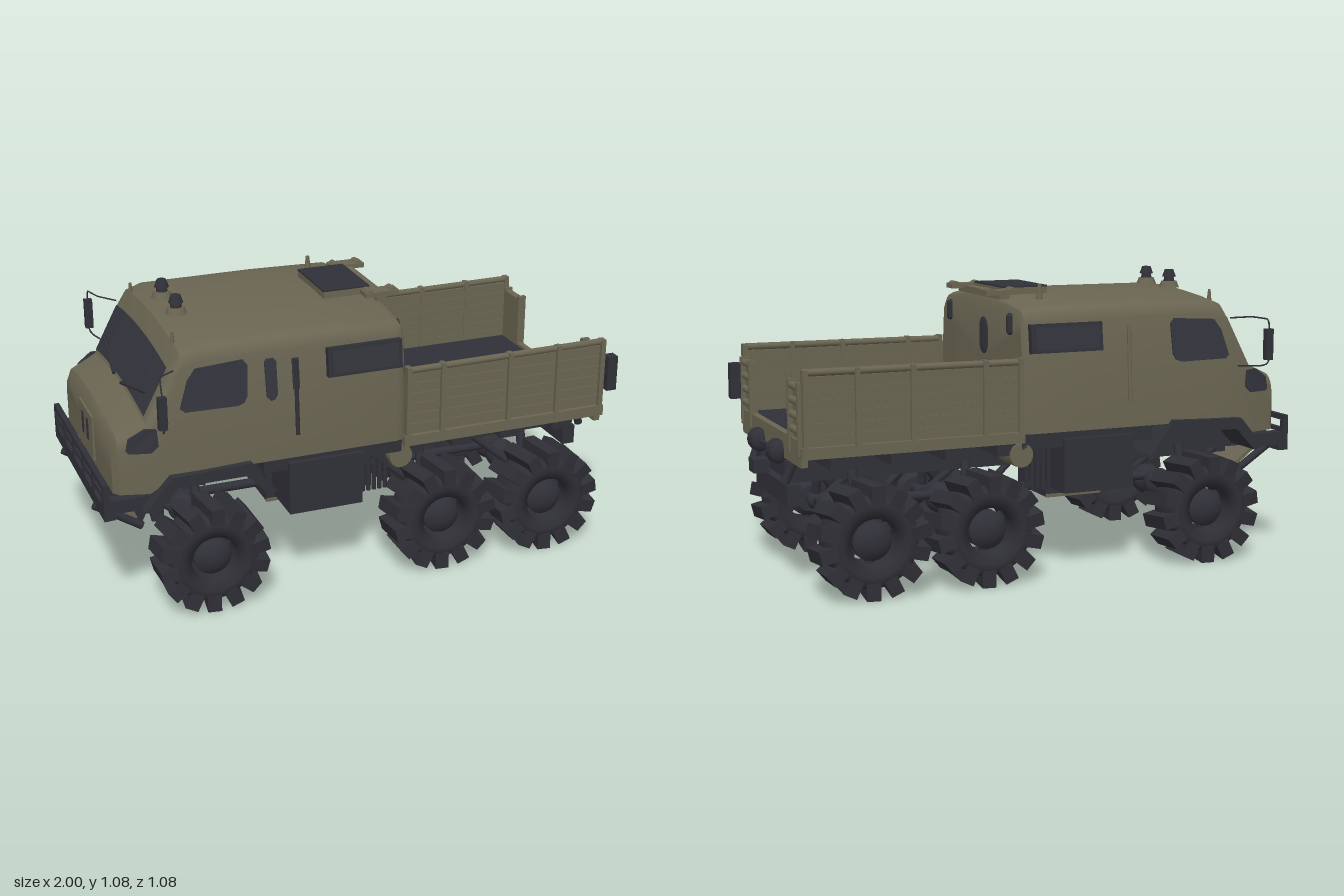
import * as THREE from 'three';
import { mergeGeometries, toCreasedNormals } from 'three/addons/utils/BufferGeometryUtils.js';

const mat = (name, color) => Object.assign(new THREE.MeshStandardMaterial({ color }), { name });
const olive = mat('olive paint', 0x6a6552);
const dark = mat('dark chassis', 0x303038);
const rubber = mat('tyre rubber', 0x2e2e35);
const glass = mat('dark glass', 0x34343d);
glass.side = THREE.DoubleSide;

// piecewise linear lookup
const lerpTable = (t, x) => {
  if (x <= t[0][0]) return t[0][1];
  for (let i = 1; i < t.length; i++) {
    const [a, b] = [t[i - 1], t[i]];
    if (x <= b[0]) return a[1] + (b[1] - a[1]) * (x - a[0]) / (b[0] - a[0]);
  }
  return t[t.length - 1][1];
};
const TOP = [[-0.94, 0.69], [-0.92, 0.72], [-0.82, 0.76], [-0.72, 0.95], [-0.69, 1.0], [-0.63, 1.02], [-0.2, 1.022], [0.1, 1.015], [0.122, 1.005], [0.133, 0.985]];
const WIDTH = [[-0.94, 0.83], [-0.92, 0.89], [-0.82, 0.955], [-0.72, 0.985], [-0.63, 1], [0.1, 1], [0.122, 0.985], [0.133, 0.955]];
const R = 0.055, CROWN = 0.025;
const sideZ = (x, y) => lerpTable(WIDTH, x) * (y < 0.75 ? 0.412 : 0.412 - (y - 0.75) * 0.125);
const roofY = (x, z) => {
  const T = lerpTable(TOP, x), zc = sideZ(x, T - R - CROWN) - R;
  return T - CROWN * (z / zc) ** 2;
};

// one cab cross-section, running from floor centre over the +z side to the roof and back
function cabRing(x) {
  const T = lerpTable(TOP, x), y0 = x < -0.8 ? 0.48 : 0.54, yr = T - CROWN - R, zc = sideZ(x, yr) - R;
  const half = [[0, y0], ...[0, 0.5, 1].map(f => [sideZ(x, y0 + (yr - y0) * f), y0 + (yr - y0) * f])];
  for (let k = 1; k <= 4; k++) half.push([zc + R * Math.cos(k * Math.PI / 8), yr + R * Math.sin(k * Math.PI / 8)]);
  half.push([zc * 0.66, roofY(x, zc * 0.66)], [zc * 0.33, roofY(x, zc * 0.33)], [0, T]);
  const back = half.slice(1, -1).reverse().map(([z, y]) => [-z, y]);
  return [...half, ...back].map(([z, y]) => [x, y, z]);
}
function loft(rings) {
  const n = rings[0].length, idx = [];
  for (let i = 0; i < rings.length - 1; i++) for (let j = 0; j < n; j++) {
    const a = i * n + j, b = i * n + (j + 1) % n;
    idx.push(a, a + n, b, b, a + n, b + n);
  }
  const g = new THREE.BufferGeometry();
  g.setAttribute('position', new THREE.Float32BufferAttribute(rings.flat(2), 3));
  g.setIndex(idx);
  return toCreasedNormals(g.toNonIndexed(), 0.6);
}

export function createModel() {
  const model = new THREE.Group();
  const add = (name, geo, m, x = 0, y = 0, z = 0, parent = model) => {
    const o = new THREE.Mesh(geo, m);
    o.name = name; o.position.set(x, y, z); parent.add(o);
    return o;
  };
  // box given by its x, y and z ranges
  const box = (name, m, x0, x1, y0, y1, z0, z1) =>
    add(name, new THREE.BoxGeometry(x1 - x0, y1 - y0, z1 - z0), m, (x0 + x1) / 2, (y0 + y1) / 2, (z0 + z1) / 2);
  const rod = (name, m, a, b, r, sides = 10) => {
    const p = new THREE.Vector3(...a), q = new THREE.Vector3(...b), d = q.clone().sub(p);
    const o = add(name, new THREE.CylinderGeometry(r, r, d.length(), sides), m);
    o.position.copy(p.add(q).multiplyScalar(0.5));
    o.quaternion.setFromUnitVectors(new THREE.Vector3(0, 1, 0), d.normalize());
  };
  const both = f => { f(1); f(-1); };
  const sbox = (name, m, x0, x1, y0, y1, z0, z1, s) =>
    s > 0 ? box(name, m, x0, x1, y0, y1, z0, z1) : box(name, m, x0, x1, y0, y1, -z1, -z0);

  // cab shell
  const xs = TOP.map(p => p[0]), first = cabRing(xs[0]);
  add('cab', loft([first.map(() => [xs[0], 0.58, 0]), ...xs.map(cabRing), first.map(() => [0.137, 0.77, 0])]), olive);

  // windscreen follows the slope of the cab
  const screen = new THREE.PlaneGeometry(1, 1, 8, 3), sp = screen.attributes.position;
  for (let i = 0; i < sp.count; i++) {
    const x = -0.814 + (sp.getY(i) + 0.5) * 0.088, z = sp.getX(i) * 0.69;
    sp.setXYZ(i, x - 0.005, roofY(x, z) + 0.006, z);
  }
  screen.computeVertexNormals();
  add('windscreen', screen, glass);

  // thin plate lying on the side of the cab
  const sidePlate = (name, pts, s) => {
    const g = new THREE.ExtrudeGeometry(new THREE.Shape(pts.map(p => new THREE.Vector2(...p))), { depth: 0.009, bevelEnabled: false });
    const p = g.attributes.position;
    for (let i = 0; i < p.count; i++) {
      const d = sideZ(p.getX(i), p.getY(i)) - 0.003 + (s > 0 ? p.getZ(i) : 0.009 - p.getZ(i));
      p.setZ(i, s * d);
    }
    g.computeVertexNormals();
    add(name, g, glass);
  };
  both(s => {
    sidePlate('doorWindow', [[-0.705, 0.785], [-0.69, 0.772], [-0.5, 0.77], [-0.478, 0.778], [-0.466, 0.8], [-0.46, 0.91], [-0.475, 0.93], [-0.645, 0.92], [-0.675, 0.88]], s);
    sidePlate('headlampWindow', [[-0.895, 0.645], [-0.885, 0.635], [-0.81, 0.635], [-0.785, 0.66], [-0.79, 0.72], [-0.83, 0.725], [-0.885, 0.69]], s);
    rod('grabRail', s > 0 ? dark : olive, [-0.285, 0.63, s * 0.42], [-0.285, 0.91, s * 0.402], 0.008, 8);
    // hinged rear side window
    const w = add('rearWindowFrame', new THREE.BoxGeometry(0.28, 0.105, 0.03), dark, -0.03, 0.88, s * 0.405);
    w.rotation.x = -s * 0.12;
    add('rearWindowPane', new THREE.BoxGeometry(0.25, 0.08, 0.008), glass, 0, 0, s * 0.016, w);
    // mirror
    const arm = [[-0.72, 0.92, 0.385], [-0.78, 0.927, 0.44], [-0.8, 0.925, 0.52], [-0.8, 0.9, 0.53], [-0.8, 0.765, 0.53], [-0.79, 0.75, 0.5], [-0.75, 0.74, 0.4]];
    const curve = new THREE.CatmullRomCurve3(arm.map(p => new THREE.Vector3(p[0], p[1], s * p[2])), false, 'catmullrom', 0.1);
    add('mirrorArm', new THREE.TubeGeometry(curve, 32, 0.003, 6), dark);
    sbox('mirror', dark, -0.815, -0.785, 0.775, 0.89, 0.515, 0.538, s);
    // wiper and rear work lamp
    rod('wiper', dark, [-0.822, 0.765, s * 0.05], [-0.795, 0.82, s * 0.3], 0.007, 6);
    add('rearWorkLamp', new THREE.CapsuleGeometry(0.014, 0.052, 3, 10), dark, 0.138, 0.925, s * 0.292);
    // roof beacons and marker pegs
    add('beaconBase', new THREE.CylinderGeometry(0.03, 0.04, 0.025, 10), olive, -0.62, 1.028, s * 0.092);
    add('beaconNeck', new THREE.CylinderGeometry(0.018, 0.022, 0.02, 10), dark, -0.62, 1.048, s * 0.092);
    add('beaconLamp', new THREE.CylinderGeometry(0.017, 0.027, 0.028, 10), dark, -0.62, 1.071, s * 0.092);
    add('roofPeg', new THREE.CylinderGeometry(0.005, 0.009, 0.04, 8), olive, -0.69, 1.0, s * 0.28);
    // hatch hinges
    sbox('hatchHinge', olive, 0.06, 0.19, 1.02, 1.038, 0.14, 0.2, s);
    for (const x of [0.08, 0.17]) rod('hatchRoller', olive, [x, 1.033, s * 0.145], [x, 1.033, s * 0.195], 0.014);
  });
  sidePlate('ventSlot', [[-0.395, 0.785], [-0.38, 0.77], [-0.365, 0.775], [-0.355, 0.79], [-0.355, 0.91], [-0.365, 0.92], [-0.39, 0.92], [-0.398, 0.91]], 1);
  sidePlate('smallVent', [[-0.297, 0.8], [-0.273, 0.8], [-0.273, 0.91], [-0.297, 0.91]], 1);
  const oval = new THREE.CapsuleGeometry(0.042, 0.055, 4, 12).scale(0.08, 1, 1);
  add('rearCabWindow', oval, glass, 0.137, 0.86, -0.043);
  box('roofHatch', olive, -0.08, 0.1, 1.015, 1.04, -0.135, 0.135);
  box('hatchPane', dark, -0.08, 0.1, 1.04, 1.046, -0.135, 0.135);
  box('hatchRail', olive, 0.1, 0.14, 1.005, 1.03, -0.2, 0.2);
  add('roofAntenna', new THREE.CylinderGeometry(0.007, 0.014, 0.06, 8), olive, -0.005, 1.03, -0.232);
  box('nosePanel', olive, -0.948, -0.93, 0.5, 0.67, -0.1, 0.1);
  for (const z of [-0.045, 0.025]) box('noseSlot', dark, -0.952, -0.946, 0.56, 0.64, z, z + 0.02);

  // front bumper and skid plate
  box('bumperBeam', dark, -0.985, -0.945, 0.4, 0.45, -0.39, 0.39);
  box('bumperUpperBar', dark, -0.985, -0.965, 0.515, 0.535, -0.39, 0.39);
  box('bumperMidBar', dark, -0.98, -0.96, 0.47, 0.485, -0.39, 0.39);
  for (let z = -0.38; z < 0.39; z += 0.152) box('bumperPost', dark, -0.985, -0.965, 0.4, 0.53, z - 0.012, z + 0.012);
  add('skidPlate', new THREE.BoxGeometry(0.17, 0.015, 0.44), olive, -0.9, 0.355, 0).rotation.z = -0.65;
  both(s => {
    sbox('bumperEnd', dark, -0.985, -0.82, 0.42, 0.47, 0.34, 0.385, s);
    rod('towBrace', dark, [-0.99, 0.4, s * 0.25], [-0.82, 0.29, s * 0.25], 0.015);
    // front mudguard
    const f = new THREE.Shape([[-0.85, 0.43], [-0.75, 0.545], [-0.46, 0.555], [-0.37, 0.43], [-0.4, 0.42], [-0.48, 0.51], [-0.73, 0.505], [-0.81, 0.42]].map(p => new THREE.Vector2(...p)));
    add('mudguard', new THREE.ExtrudeGeometry(f, { depth: 0.17, bevelEnabled: false }), dark, 0, 0, s > 0 ? 0.265 : -0.435);
    // frame, tanks and side gear
    sbox('frameRail', dark, -0.92, 0.95, 0.39, 0.47, 0.14, 0.19, s);
    sbox('cabSill', dark, -0.4, 0.13, 0.48, 0.545, 0.1, 0.38, s);
    sbox('fuelTank', dark, -0.31, -0.03, 0.31, 0.51, 0.2, 0.4, s);
    sbox('gearboxTrim', olive, -0.31, -0.08, 0.238, 0.25, 0.12, 0.135, s);
    for (let i = 0; i < 5; i++) rod('springCoil', dark, [i * 0.022, 0.32, s * 0.33], [i * 0.022, 0.5, s * 0.33], 0.009, 8);
    rod('airTank', olive, [0.13, 0.46, s * 0.25], [0.13, 0.46, s * 0.38], 0.045, 14);
  });
  for (const x of [0.18, 0.38, 0.58, 0.8]) box('bedCrossMember', dark, x - 0.04, x + 0.04, 0.46, 0.53, -0.37, 0.37);
  box('engineSump', dark, -0.86, -0.35, 0.36, 0.54, -0.14, 0.14);
  box('gearbox', dark, -0.31, -0.08, 0.24, 0.42, -0.13, 0.13);
  box('chassisCover', dark, 0.1, 0.92, 0.38, 0.5, -0.14, 0.14);
  rod('driveShaft', dark, [-0.61, 0.26, 0], [0.71, 0.26, 0], 0.018);

  // load bed
  box('bedFloor', dark, 0.135, 0.93, 0.525, 0.56, -0.39, 0.39);
  box('rearSill', olive, 0.925, 0.95, 0.48, 0.57, -0.39, 0.39);
  both(s => {
    sbox('bedRail', olive, 0.13, 0.95, 0.51, 0.55, 0.385, 0.412, s);
    for (let i = 0; i < 6; i++) sbox('sideSlat', olive, 0.14, 0.94, 0.555 + i * 0.04, 0.591 + i * 0.04, 0.384, 0.4, s);
    sbox('sideBacking', olive, 0.14, 0.94, 0.55, 0.79, 0.387, 0.396, s);
    rod('sideTopRail', olive, [0.14, 0.8, s * 0.395], [0.94, 0.805, s * 0.395], 0.013, 8);
    for (const x of [0.145, 0.28, 0.55, 0.75, 0.935]) sbox('sideStake', olive, x - 0.009, x + 0.009, 0.51, 0.815, 0.382, 0.413, s);
    // short ribbed rear corner gates
    sbox('cornerGate', olive, 0.925, 0.94, 0.57, 0.76, 0.265, 0.385, s);
    for (let i = 0; i < 4; i++) rod('gateRib', olive, [0.943, 0.6 + i * 0.05, s * 0.27], [0.943, 0.6 + i * 0.05, s * 0.385], 0.014, 8);
    for (const z of [0.262, 0.38]) sbox('gatePost', olive, 0.925, 0.957, 0.52, 0.77, z - 0.008, z + 0.008, s);
    // tail gear
    rod('tailBrace', dark, [0.92, 0.5, s * 0.24], [0.96, 0.4, s * 0.22], 0.016);
    const can = add('rearCanister', new THREE.CapsuleGeometry(0.025, 0.045, 4, 14), dark, 0.962, 0.498, s > 0 ? 0.117 : -0.135);
    can.rotation.x = Math.PI / 2;
    can.scale.set(1.5, 1, 1.7);
  });
  rod('canisterLink', dark, [0.965, 0.5, -0.1], [0.965, 0.5, 0.08], 0.008);
  box('cornerCanister', dark, 0.955, 0.995, 0.61, 0.745, 0.38, 0.42);
  box('rearCrossBeam', dark, 0.9, 0.95, 0.31, 0.385, -0.21, 0.21);
  box('towHitch', dark, 0.94, 1.0, 0.385, 0.435, 0.05, 0.12);

  // wheels: lathed tyre with slanted tread bars
  const prof = [[0.085, -0.065], [0.12, -0.083], [0.15, -0.08], [0.163, -0.06], [0.167, 0], [0.163, 0.06], [0.15, 0.08], [0.12, 0.083], [0.085, 0.065], [0.085, -0.065]];
  const tyre = new THREE.LatheGeometry(prof.map(p => new THREE.Vector2(...p)), 28).rotateX(Math.PI / 2);
  const bars = [], COUNT = 14;
  for (let i = 0; i < COUNT; i++) {
    bars.push(new THREE.BoxGeometry(0.05, 0.062, 0.17).rotateY(0.13).translate(0, 0.17, 0).rotateZ(i * 2 * Math.PI / COUNT));
  }
  const tread = mergeGeometries(bars);
  const hubProf = [[0, -0.05], [0.05, -0.05], [0.07, -0.03], [0.07, 0.04], [0.055, 0.055], [0.03, 0.066], [0, 0.07]];
  const hub = toCreasedNormals(new THREE.LatheGeometry(hubProf.map(p => new THREE.Vector2(...p)), 20).rotateX(Math.PI / 2), 0.6);
  const spokes = mergeGeometries([0, 1, 2, 3, 4, 5].map(i =>
    new THREE.BoxGeometry(0.03, 0.035, 0.02).translate(0, 0.077, 0).rotateZ(i * Math.PI / 3)));
  for (const x of [-0.61, 0.28, 0.71]) {
    both(s => {
      const wheel = new THREE.Group();
      wheel.name = 'wheel';
      wheel.position.set(x, 0.21, s * 0.38);
      if (s < 0) wheel.rotation.y = Math.PI;
      model.add(wheel);
      add('tyre', tyre, rubber, 0, 0, 0, wheel);
      add('tread', tread, rubber, 0, 0, 0, wheel);
      add('hub', hub, dark, 0, 0, 0, wheel);
      add('rimSpokes', spokes, dark, 0, 0, 0, wheel);
      // axle tube, knuckle and suspension
      rod('axle', dark, [x, 0.25, 0], [x, 0.215, s * 0.34], 0.02);
      add('knuckle', new THREE.SphereGeometry(0.035, 12, 8), dark, x, 0.22, s * 0.255);
      add('differential', new THREE.SphereGeometry(0.06, 14, 10), dark, x, 0.235, s * 0.05);
      rod('shockAbsorber', dark, [x, 0.22, s * 0.26], [x, 0.42, s * 0.2], 0.018);
      rod('trailingLink', dark, [x, 0.235, s * 0.2], [x - 0.2, 0.4, s * 0.16], 0.014, 8);
    });
  }
  return model;
}
